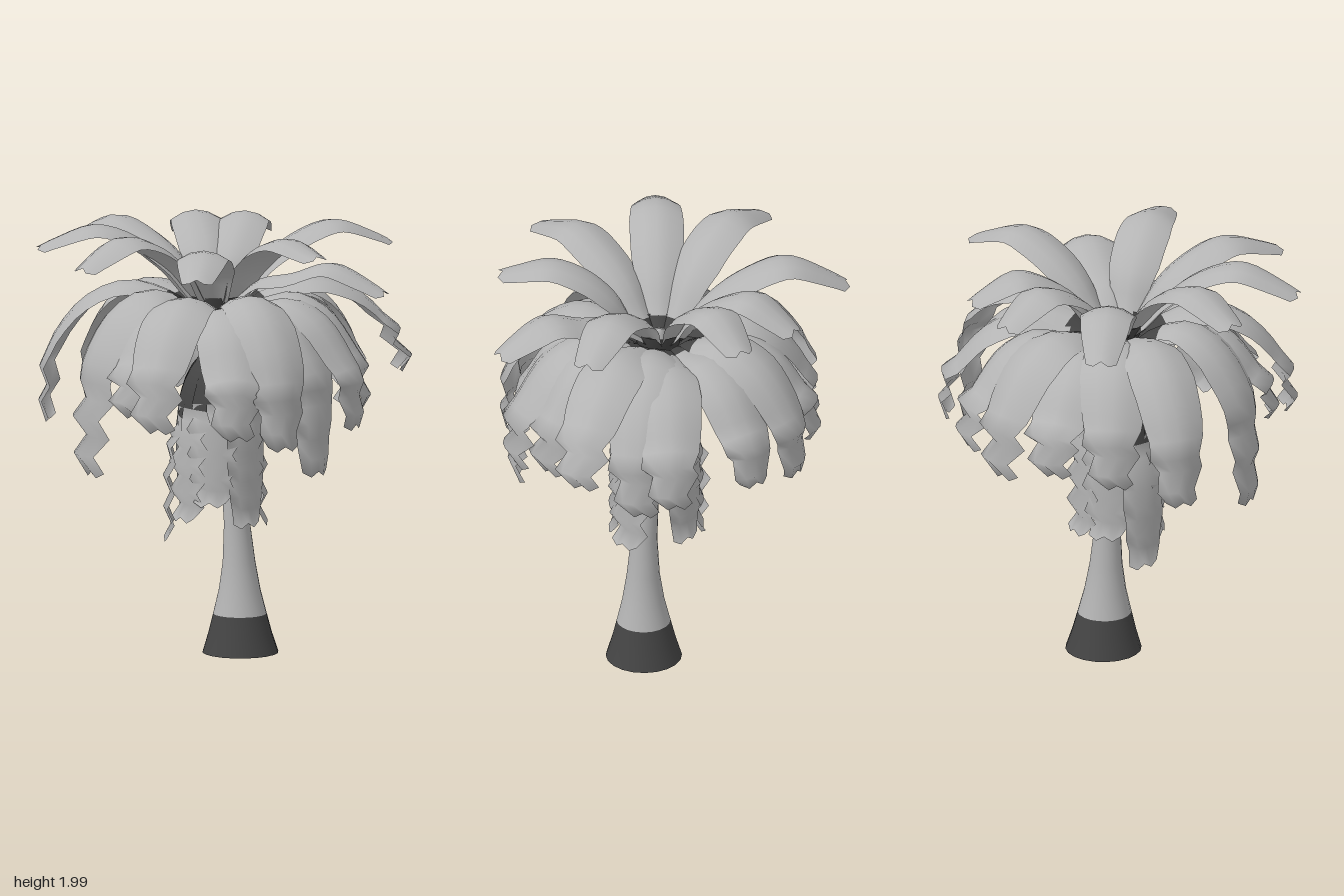
import * as THREE from 'three';

const CX = -0.05, CZ = 0.01; // crown centre

export function createModel() {
  const tree = new THREE.Group();
  tree.name = 'palmTree';
  const light = new THREE.MeshStandardMaterial({ color: 0xb4b4b4, side: THREE.DoubleSide });
  light.name = 'light grey';
  const dark = new THREE.MeshStandardMaterial({ color: 0x444444, side: THREE.DoubleSide });
  dark.name = 'dark grey';

  const add = (parent, geometry, material, name) => {
    const mesh = new THREE.Mesh(geometry, material);
    mesh.name = name;
    parent.add(mesh);
  };

  // Trunk: turned profile whose centre line leans with height
  const lean = new THREE.CatmullRomCurve3([
    new THREE.Vector3(0.052, 0, 0.052), new THREE.Vector3(0.036, 0.6, 0.057),
    new THREE.Vector3(-0.01, 1.15, 0.035), new THREE.Vector3(CX, 1.65, CZ),
  ]);
  const trunkPart = (profile) => {
    const g = new THREE.LatheGeometry(profile.map(([r, y]) => new THREE.Vector2(r, y)), 20);
    const p = g.attributes.position;
    for (let i = 0; i < p.count; i++) {
      const c = lean.getPoint(Math.min(1, p.getY(i) / 1.65));
      p.setX(i, p.getX(i) + c.x);
      p.setZ(i, p.getZ(i) + c.z);
    }
    return g;
  };
  add(tree, trunkPart([[0.174, 0], [0.146, 0.09], [0.123, 0.18]]), dark, 'trunkFoot');
  add(tree, trunkPart([[0.123, 0.18], [0.096, 0.29], [0.075, 0.42], [0.06, 0.6], [0.051, 0.9],
    [0.046, 1.2], [0.042, 1.5], [0.03, 1.64], [0, 1.65]]), light, 'trunk');
  // Dark cup the fronds grow from
  add(tree, trunkPart([[0.043, 1.48], [0.09, 1.56], [0.125, 1.66]]), dark, 'crownCup');

  // Sheet of rows between two sample indices of a frond
  const sheet = (rows, from, to) => {
    const cols = rows[0].length, pos = [], idx = [];
    for (let i = from; i <= to; i++) rows[i].forEach((v) => pos.push(v.x, v.y, v.z));
    for (let i = 0; i < to - from; i++) {
      for (let j = 0; j < cols - 1; j++) {
        const a = i * cols + j, b = a + cols;
        idx.push(a, a + 1, b, b, a + 1, b + 1);
      }
    }
    const g = new THREE.BufferGeometry();
    g.setAttribute('position', new THREE.Float32BufferAttribute(pos, 3));
    g.setIndex(idx);
    g.computeVertexNormals();
    return g;
  };

  // Frond: arched strip along a (radius, height) path, with a dark stalk and optional ragged end
  const frond = (name, angle, path, widths, opt) => {
    const { steps = 18, camber = 0.2, stalk = 2, ragged = 2, zig = 0, cx = CX, cz = CZ } = opt;
    const curve = new THREE.CatmullRomCurve3(path.map(([r, y]) => new THREE.Vector3(r, y, 0)));
    const dx = Math.cos(angle), dz = Math.sin(angle), rows = [];
    for (let i = 0; i <= steps; i++) {
      const t = i / steps, c = curve.getPointAt(t), tan = curve.getTangentAt(t);
      const k = t * (widths.length - 1), n = Math.min(widths.length - 2, Math.floor(k));
      const w = THREE.MathUtils.lerp(widths[n], widths[n + 1], k - n);
      const kink = t > ragged ? (i % 2 ? zig : -zig) : 0;
      const row = [];
      for (let j = -2; j <= 2; j++) {
        const s = j / 2, drop = camber * w * s * s;
        const notch = i === steps ? (j % 2 ? 0.015 : -0.008) : 0;
        const r = c.x + tan.y * drop + kink * 0.9 + tan.x * notch;
        const y = c.y - tan.x * drop + tan.y * notch;
        const side = s * w / 2 + kink * 0.8;
        row.push(new THREE.Vector3(cx + dx * r - dz * side, y, cz + dz * r + dx * side));
      }
      rows.push(row);
    }
    const group = new THREE.Group();
    group.name = name;
    add(group, sheet(rows, 0, stalk), dark, 'stalk');
    add(group, sheet(rows, stalk, steps), light, 'blade');
    tree.add(group);
  };

  // Upper fronds: tip x, tip z, peak height, tip height
  [[0.77, 0.11, 1.975, 1.87], [0.52, 0.6, 1.84, 1.72], [0.13, 0.71, 1.985, 1.93],
    [-0.48, 0.71, 1.96, 1.87], [-0.85, 0.27, 1.995, 1.88], [-0.82, -0.25, 1.995, 1.9],
    [-0.43, -0.77, 1.96, 1.82], [0.13, -0.69, 1.96, 1.84], [0.41, -0.52, 1.96, 1.85],
  ].forEach(([x, z, peak, tip]) => {
    const R = Math.hypot(x - CX, z - CZ);
    frond('upperFrond', Math.atan2(z - CZ, x - CX),
      [[0.03, 1.58], [0.11, 1.66], [0.26 * R, 0.4 * peak + 0.6 * 1.68], [0.45 * R, peak - 0.06],
        [0.68 * R, peak], [0.9 * R, 0.4 * peak + 0.6 * tip], [R, tip]],
      [0.08, 0.17, 0.24, 0.25, 0.22, 0.14], { camber: 0.18 });
  });

  // Drooping fronds: tip x, tip z, peak height, tip height
  [[0.85, 0.14, 1.72, 1.27], [0.7, -0.11, 1.7, 1.08], [0.71, -0.28, 1.67, 1.15],
    [0.41, -0.59, 1.66, 1.16], [0.16, -0.72, 1.7, 1.11], [-0.12, -0.72, 1.65, 1.17],
    [-0.4, -0.62, 1.7, 1.13], [-0.69, -0.49, 1.71, 1.06], [-0.74, 0.06, 1.71, 0.89],
    [-0.67, 0.37, 1.66, 1.2], [-0.64, 0.57, 1.71, 1.16], [-0.29, 0.72, 1.66, 1.12],
    [-0.06, 0.75, 1.71, 1.06], [0.17, 0.64, 1.66, 0.91], [0.4, 0.58, 1.67, 1.1],
    [0.53, 0.39, 1.68, 1.15],
  ].forEach(([x, z, peak, tip]) => {
    const R = Math.hypot(x - CX, z - CZ);
    frond('droopingFrond', Math.atan2(z - CZ, x - CX),
      [[0.04, 1.52], [0.12, 1.61], [0.32 * R, peak - 0.03], [0.52 * R, peak], [0.75 * R, peak - 0.08],
        [0.92 * R, peak - 0.24], [0.98 * R, Math.max(1.36, tip + 0.1)], [R, tip]],
      [0.08, 0.19, 0.28, 0.31, 0.29, 0.23, 0.15],
      { steps: 16, camber: 0.18, stalk: 3, ragged: tip < 1 ? 0.7 : 0.8, zig: 0.026 });
  });

  // Dead fronds hanging against the trunk: direction in degrees, tip height, tip radius
  [[25, 0.61, 0.2], [75, 0.62, 0.2], [125, 0.72, 0.2], [165, 0.64, 0.21], [205, 0.53, 0.24],
    [250, 0.66, 0.2], [298, 0.65, 0.2],
  ].forEach(([deg, tip, R]) => {
    frond('deadFrond', THREE.MathUtils.degToRad(deg),
      [[0.03, 1.4], [0.09, 1.38], [0.16, 1.27], [0.19, 1.12], [R, 0.9], [R, tip]],
      [0.07, 0.15, 0.21, 0.22, 0.2, 0.15],
      { steps: 13, camber: 0.1, stalk: 5, ragged: 0.4, zig: 0.018, cx: -0.035, cz: 0.02 });
  });

  return tree;
}
